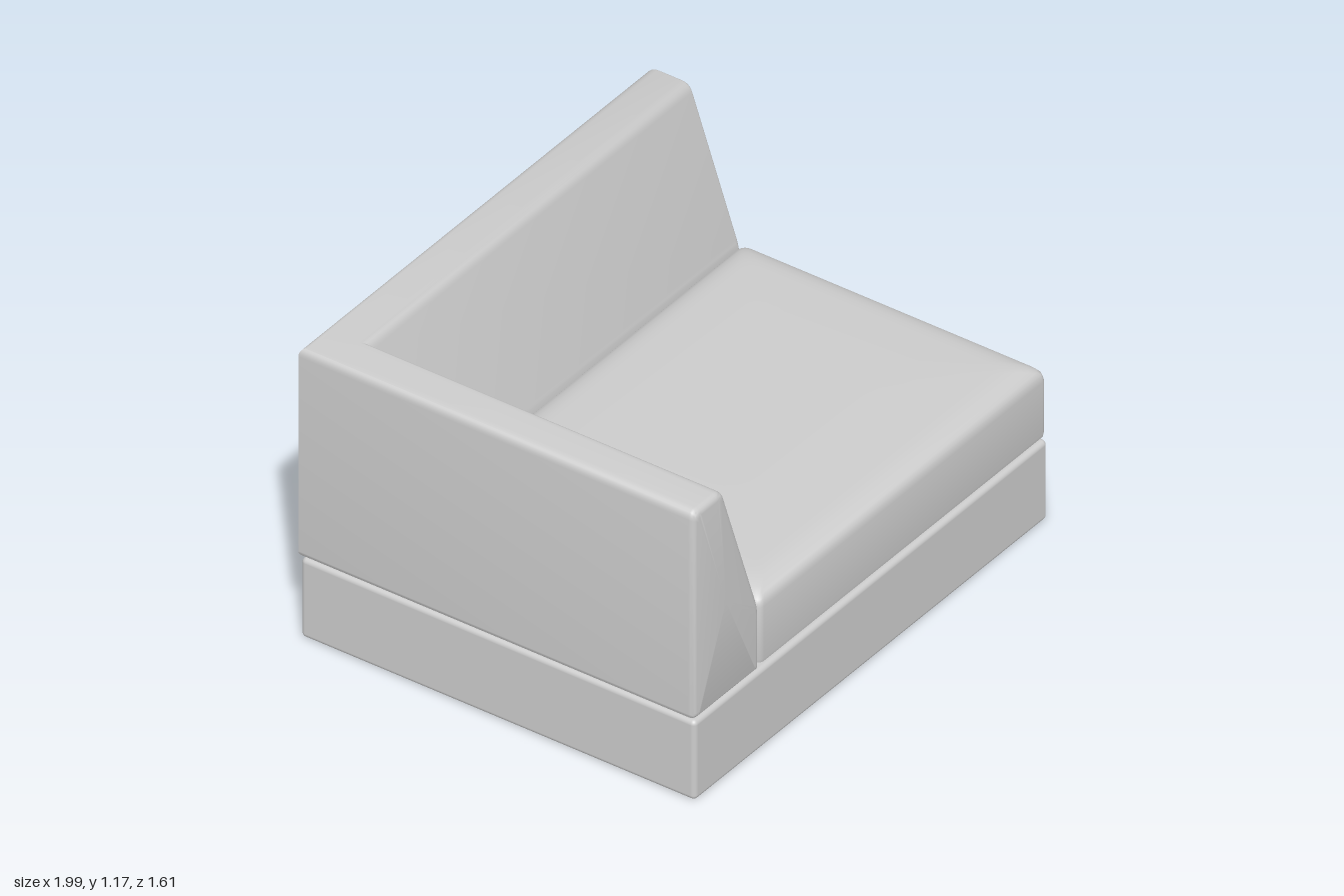
import * as THREE from 'three';
import { toCreasedNormals } from 'three/addons/utils/BufferGeometryUtils.js';
import { RoundedBoxGeometry } from 'three/addons/geometries/RoundedBoxGeometry.js';

// Closed skin through equal-length rings, capped at both ends
function loft(rings) {
  const n = rings[0].length, pts = rings.flat(), index = [];
  const centre = (r) => r.reduce((s, p) => s.add(p), new THREE.Vector3()).divideScalar(n);
  for (let i = 0; i < rings.length - 1; i++) {
    for (let j = 0; j < n; j++) {
      const k = (j + 1) % n, a = i * n + j, b = i * n + k;
      index.push(a, b, b + n, a, b + n, a + n);
    }
  }
  const first = pts.length, last = first + 1, top = (rings.length - 1) * n;
  pts.push(centre(rings[0]), centre(rings[rings.length - 1]));
  for (let j = 0; j < n; j++) {
    const k = (j + 1) % n;
    index.push(first, k, j, last, top + j, top + k);
  }
  const geo = new THREE.BufferGeometry().setFromPoints(pts);
  geo.setIndex(index);
  return toCreasedNormals(geo, 0.6);
}

// Backrest cross-section: x = depth in from the outer face, y = height
const PROFILE = [[0, 0.325], [0, 1.168], [0.165, 1.168], [0.37, 0.58], [0.37, 0.325]]
  .map(([x, y]) => new THREE.Vector2(x, y));
const RADII = [0.02, 0.035, 0.035, 0.04, 0.015];

// The cross-section shrunk by an inset, with rounded corners
function section(inset) {
  const n = PROFILE.length;
  const corners = PROFILE.map((p, i) => {
    const u = p.clone().sub(PROFILE[(i + n - 1) % n]).normalize();
    const v = PROFILE[(i + 1) % n].clone().sub(p).normalize();
    const a = new THREE.Vector2(u.y, -u.x), b = new THREE.Vector2(v.y, -v.x);
    const m = a.clone().add(b).multiplyScalar(inset / (1 + a.dot(b)));
    return p.clone().add(m);
  });
  return corners.flatMap((p, i) => {
    const r = Math.max(RADII[i] - inset * 0.5, 0.006);
    const from = corners[(i + n - 1) % n].clone().sub(p).setLength(r).add(p);
    const to = corners[(i + 1) % n].clone().sub(p).setLength(r).add(p);
    return new THREE.QuadraticBezierCurve(from, p, to).getPoints(6);
  });
}

// L-shaped backrest: side leg, mitred corner, rear leg, with softened ends
function backrestGeometry() {
  const X = -0.997, Z = -0.81, FRONT = 0.803, RIGHT = 0.995, R = 0.025, STEPS = 5;
  const rings = [];
  const side = (z, inset) => rings.push(section(inset).map((p) => new THREE.Vector3(X + p.x, p.y, z)));
  const rear = (x, inset) => rings.push(section(inset).map((p) => new THREE.Vector3(x, p.y, Z + p.x)));
  const ease = (i) => {
    const a = (i / STEPS) * Math.PI / 2;
    return [R * (1 - Math.sin(a)), R * (1 - Math.cos(a))];
  };
  for (let i = 0; i <= STEPS; i++) {
    const [inset, along] = ease(i);
    side(FRONT - along, inset);
  }
  rings.push(section(0).map((p) => new THREE.Vector3(X + p.x, p.y, Z + p.x)));
  for (let i = STEPS; i >= 0; i--) {
    const [inset, along] = ease(i);
    rear(RIGHT - along, inset);
  }
  return loft(rings);
}

// Rounded rectangle ring of the seat cushion
function cushionRing(inset, y) {
  const w = 0.81 - inset, d = 0.621 - inset, r = 0.025 + inset * 0.3, ring = [];
  for (let c = 0; c < 4; c++) {
    const sx = c === 0 || c === 3 ? 1 : -1, sz = c < 2 ? -1 : 1;
    for (let i = 0; i <= 5; i++) {
      const t = (c + i / 5) * Math.PI / 2;
      ring.push(new THREE.Vector3(
        0.183 + sx * (w - r) + r * Math.cos(t), y, 0.18 + sz * (d - r) - r * Math.sin(t)));
    }
  }
  return ring;
}

function cushionGeometry() {
  const levels = [[0.03, 0.327], [0.012, 0.332], [0.002, 0.342], [0, 0.355], [0, 0.565], [0.002, 0.577]];
  // Crowned top
  for (let i = 1; i <= 6; i++) {
    const a = (i / 6) * Math.PI / 2;
    levels.push([0.002 + 0.11 * (1 - Math.cos(a)), 0.577 + 0.054 * Math.sin(a)]);
  }
  levels.push([0.22, 0.637], [0.4, 0.64]);
  return loft(levels.map(([inset, y]) => cushionRing(inset, y)));
}

export function createModel() {
  const fabric = new THREE.MeshStandardMaterial({ color: 0xcccccc });
  fabric.name = 'light grey fabric';
  const group = new THREE.Group();
  group.name = 'cornerSofa';
  const add = (name, geometry) => {
    const mesh = new THREE.Mesh(geometry, fabric);
    mesh.name = name;
    group.add(mesh);
    return mesh;
  };
  add('base', new RoundedBoxGeometry(1.99, 0.32, 1.606, 4, 0.018)).position.y = 0.16;
  add('backrest', backrestGeometry());
  add('seatCushion', cushionGeometry());
  return group;
}
